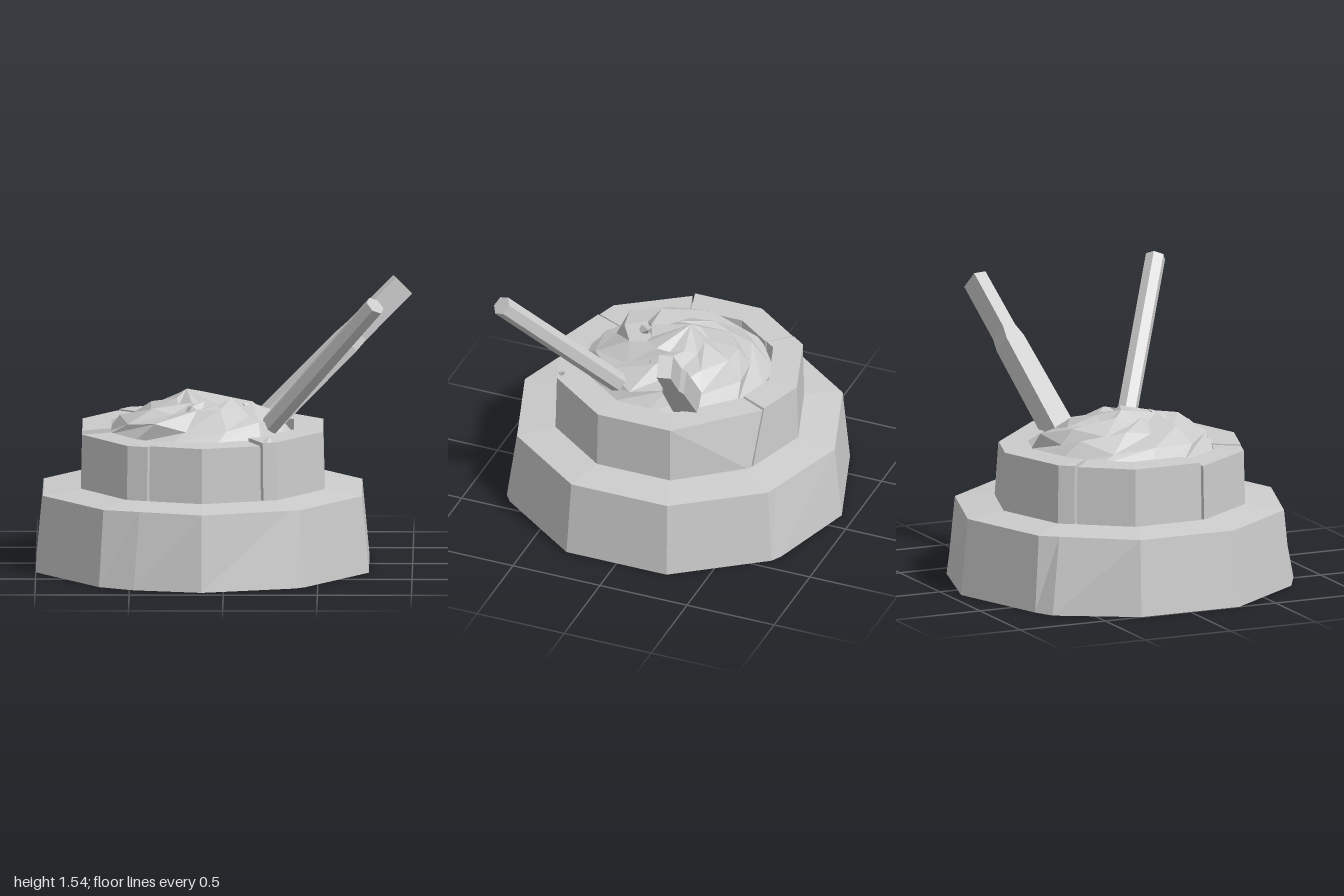
import * as THREE from 'three';

const CX = -0.115;
const RAD = Math.PI / 180;
const V = (x, y, z) => new THREE.Vector3(x, y, z);

// point at angle a (degrees, 0 = front, 90 = +x) around the pedestal axis
const polar = (a, r, y) => V(CX + r * Math.sin(a * RAD), y, r * Math.cos(a * RAD));

// radius of a ten-sided outline at angle a
const decagon = (a, r) => {
  const m = ((a % 36) + 36) % 36;
  return (r * Math.cos(18 * RAD)) / Math.cos((m - 18) * RAD);
};

// skin a row of closed loops and cap both ends
function loft(loops, apex) {
  const pos = [];
  const tri = (...p) => p.forEach((q) => pos.push(q.x, q.y, q.z));
  const mid = (l) => l.reduce((s, p) => s.add(p), V(0, 0, 0)).divideScalar(l.length);
  const n = loops[0].length;
  const last = loops[loops.length - 1];
  const c0 = mid(loops[0]);
  const c1 = apex || mid(last);
  for (let i = 0; i < n; i++) {
    const j = (i + 1) % n;
    for (let k = 0; k < loops.length - 1; k++) {
      const A = loops[k], B = loops[k + 1];
      tri(A[i], A[j], B[j]);
      tri(A[i], B[j], B[i]);
    }
    tri(c0, loops[0][j], loops[0][i]);
    tri(c1, last[i], last[j]);
  }
  const g = new THREE.BufferGeometry();
  g.setAttribute('position', new THREE.Float32BufferAttribute(pos, 3));
  g.computeVertexNormals();
  return g;
}

// straight bar through stations [t, halfThickness, halfWidth]; corners are [thickness, width] factors
function bar(from, to, corners, stations) {
  const d = to.clone().sub(from).normalize();
  const side = d.clone().cross(V(0, 1, 0)).normalize();
  const up = side.clone().cross(d);
  return loft(stations.map(([t, h, w]) => corners.map(([u, s]) =>
    from.clone().lerp(to, t).addScaledVector(up, u * h).addScaledVector(side, s * w))));
}

export function createModel() {
  const group = new THREE.Group();
  const stone = new THREE.MeshStandardMaterial({ color: 0xcccccc });
  stone.name = 'grey stone';
  stone.flatShading = true;
  const add = (name, geometry) => {
    const m = new THREE.Mesh(geometry, stone);
    m.name = name;
    group.add(m);
    return m;
  };

  // wide base: ten sides plus a few chipped points [angle, bottom radius]
  const rim = [[32, 0.932], [148, 0.925], [223, 0.955], [337, 0.925]];
  for (let a = 0; a < 360; a += 36) rim.push([a, 0.93]);
  rim.sort((p, q) => p[0] - q[0]);
  add('base', loft([
    rim.map(([a, r]) => polar(a, r, 0)),
    rim.map(([a]) => polar(a, decagon(a, 0.89), 0.41)),
    rim.map(([a]) => polar(a, decagon(a, 0.68), 0.435)),
  ]));

  // upper ring of stones: [start, end, top height, start slant, end slant]
  const blocks = [
    [-74, -26, 0.73, 0, 0],
    [-26, 29, 0.735, 0, 0],
    [29, 147, 0.75, 0, 9],
    [147, 224, 0.755, 9, 0],
    [224, 286, 0.75, 0, 0],
  ];
  blocks.forEach(([a0, a1, top, s0, s1], i) => {
    const angles = [[a0 + 0.6, s0]];
    for (let a = Math.ceil((a0 + 3) / 36) * 36; a < a1 - 3; a += 36) angles.push([a, 0]);
    angles.push([a1 - 0.6, s1]);
    add('ringStone' + (i + 1), loft(angles.map(([a, s]) => [
      polar(a, decagon(a, 0.68), 0.42),
      polar(a, decagon(a, 0.51), 0.42),
      polar(a + s, decagon(a + s, 0.51), top),
      polar(a + s, decagon(a + s, 0.672), top - 0.005),
    ])));
  });

  // jagged heap: rings [radius, height, radius jitter, height jitter]
  let seed = 7;
  const jitter = () => {
    seed = (seed * 16807) % 2147483647;
    return (seed / 2147483647) * 2 - 1;
  };
  const rings = [
    [0.5, 0.45, 0, 0],
    [0.5, 0.715, 0.012, 0.015],
    [0.42, 0.795, 0.03, 0.025],
    [0.3, 0.85, 0.04, 0.03],
    [0.15, 0.885, 0.03, 0.022],
  ];
  const sides = 13;
  add('rubbleHeap', loft(rings.map(([r, y, dr, dy], k) =>
    Array.from({ length: sides }, (_, i) => {
      const ridge = (i + k) % 2 ? 1 : -1;
      const a = ((i + k * 0.35) * 360) / sides + (dr ? jitter() * 5 : 0);
      return polar(a, r + jitter() * dr, y + dy * (0.6 * ridge + 0.5 * jitter()))
        .add(V(-0.015, 0, 0.015));
    })), V(-0.2, 0.937, -0.03)));

  // loose chips on the heap and rim: [x, y, z, size, turn]
  const chips = [[-0.16, 0.86, 0.22, 0.07, 0.4], [0.13, 0.845, 0.07, 0.04, 1.2], [0.23, 0.735, 0.54, 0.04, 0.6]];
  chips.forEach(([x, y, z, s, t]) => {
    const chip = add('chip', new THREE.OctahedronGeometry(s));
    chip.position.set(x, y, z);
    chip.rotation.set(t, t * 2, 0.3);
    chip.scale.set(1.2, 0.5, 0.8);
  });

  // six-sided rod leaning to the front
  const hex = Array.from({ length: 6 }, (_, i) =>
    [Math.cos(i * 60 * RAD), Math.sin(i * 60 * RAD)]);
  add('frontRod', bar(V(0.18, 0.7, 0.16), V(0.805, 1.5, 0.645), hex,
    [[0, 0.055, 0.055], [1, 0.055, 0.055]]));

  // flat bar leaning to the back, stepped narrower near its end
  const square = [[-1, -1], [1, -1], [1, 1], [-1, 1]];
  add('rearBar', bar(V(0.2, 0.71, -0.18), V(0.945, 1.445, -0.35), square,
    [[0, 0.062, 0.068], [0.6, 0.062, 0.058], [0.67, 0.062, 0.04], [1, 0.062, 0.038]]));

  return group;
}
